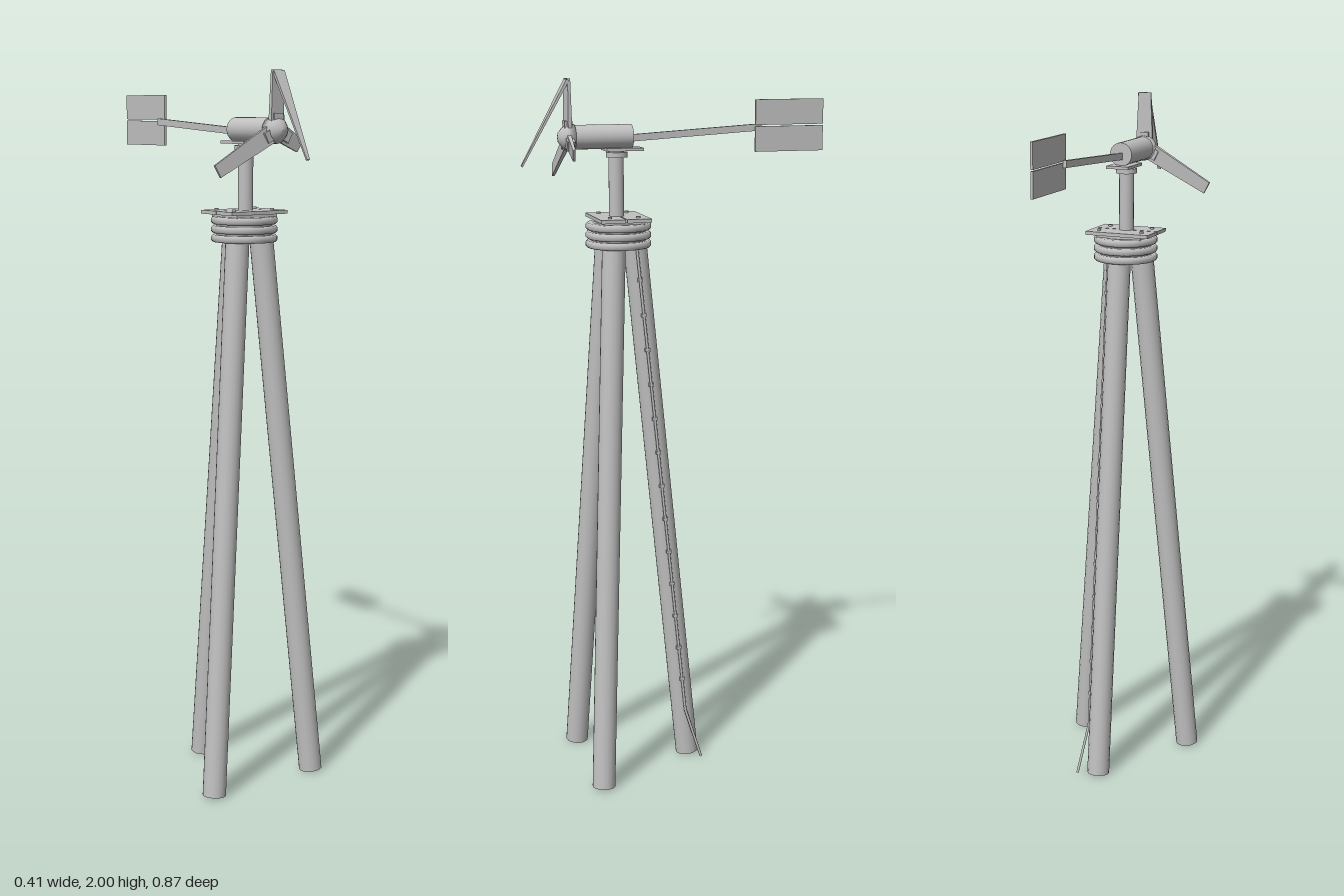
import * as THREE from 'three';

const AXIS_Z = 0.16; // tower centre line
const HUB = [0, 1.843, 0.3];

export function createModel() {
  const model = new THREE.Group();
  const metal = new THREE.MeshStandardMaterial({ color: 0xc0c0c0 });
  metal.name = 'grey metal';

  function add(name, geometry, x = 0, y = 0, z = 0, parent = model) {
    const mesh = new THREE.Mesh(geometry, metal);
    mesh.name = name;
    mesh.position.set(x, y, z);
    parent.add(mesh);
    return mesh;
  }
  const box = (name, w, h, d, x, y, z) => add(name, new THREE.BoxGeometry(w, h, d), x, y, z);
  const disc = (name, r, h, x, y, z, sides = 24) => add(name, new THREE.CylinderGeometry(r, r, h, sides), x, y, z);

  // Straight rod between two points
  function rod(name, a, b, radius, sides = 16) {
    const dir = b.clone().sub(a);
    const mid = a.clone().add(b).multiplyScalar(0.5);
    const mesh = add(name, new THREE.CylinderGeometry(radius, radius, dir.length(), sides), mid.x, mid.y, mid.z);
    mesh.quaternion.setFromUnitVectors(new THREE.Vector3(0, 1, 0), dir.normalize());
    return mesh;
  }

  // Tapered flat blade growing along +y from its origin
  function bladeGeometry(length, rootWidth, tipWidth, thickness) {
    const geo = new THREE.BoxGeometry(1, length, thickness);
    geo.translate(0, length / 2, 0);
    const p = geo.attributes.position;
    for (let i = 0; i < p.count; i++) {
      const t = p.getY(i) / length;
      p.setX(i, p.getX(i) * (rootWidth + (tipWidth - rootWidth) * t));
      p.setZ(i, p.getZ(i) * (1 - 0.4 * t));
    }
    geo.computeVertexNormals();
    return geo;
  }

  // Tripod: one leg behind, two in front
  for (let i = 0; i < 3; i++) {
    const a = Math.PI + (i * Math.PI * 2) / 3;
    const at = (r, y) => new THREE.Vector3(Math.sin(a) * r, y, AXIS_Z + Math.cos(a) * r);
    rod('leg', at(0.2, 0.004), at(0.042, 1.6), 0.033);
  }

  // Collar of three stacked bands around the leg tops
  disc('collarCore', 0.077, 0.066, 0, 1.574, AXIS_Z, 32);
  for (let i = 0; i < 3; i++) {
    const points = [[0.07, -0.01], [0.086, -0.01], [0.091, -0.005], [0.091, 0.005], [0.086, 0.01], [0.07, 0.01]];
    add('collarBand', new THREE.LatheGeometry(points.map((q) => new THREE.Vector2(...q)), 32), 0, 1.55 + i * 0.0245, AXIS_Z);
  }

  // Split top plate with spacer and bolts
  box('plateSpacer', 0.136, 0.012, 0.115, 0, 1.612, AXIS_Z);
  for (const s of [-1, 1]) {
    box('topPlate', 0.19, 0.01, 0.069, 0, 1.621, AXIS_Z + s * 0.0365);
    for (const x of [-0.065, 0.065]) disc('bolt', 0.006, 0.006, x, 1.628, AXIS_Z + s * 0.04, 8);
  }

  // Mast and nacelle bed
  disc('mast', 0.021, 0.185, 0, 1.715, 0.165, 16);
  disc('mastFlange', 0.03, 0.014, 0, 1.794, 0.163);
  box('nacelleBed', 0.066, 0.008, 0.104, 0, 1.809, 0.147);

  // Nacelle body
  add('nacelle', new THREE.CylinderGeometry(0.033, 0.033, 0.163, 24), 0, 1.843, 0.2035).rotation.x = Math.PI / 2;

  // Hub with a rounded nose
  const nose = [[0, -0.017], [0.036, -0.017], [0.036, 0.004], [0.026, 0.016], [0.014, 0.026], [0, 0.029]];
  add('hub', new THREE.LatheGeometry(nose.map((q) => new THREE.Vector2(...q)), 16), ...HUB).rotation.x = Math.PI / 2;

  // Three damaged blades of different lengths
  const blades = [[0, 0.157], [2.07, 0.09], [-2.07, 0.22]];
  for (const [angle, length] of blades) {
    const arm = new THREE.Group();
    arm.name = 'blade';
    arm.position.set(...HUB);
    arm.rotation.z = -angle;
    model.add(arm);
    add('bladeSheet', bladeGeometry(length, 0.05, 0.036, 0.012), 0, 0, 0, arm).rotation.y = 0.1;
    add('bladeRoot', new THREE.BoxGeometry(0.03, 0.05, 0.022), 0, 0.02, 0, arm);
  }

  // Snapped tip folded forward and down from the upright blade
  const tip = add('foldedBladeTip', bladeGeometry(0.262, 0.036, 0.01, 0.008), 0.004, 1.997, 0.302);
  tip.rotation.x = Math.PI - Math.atan2(0.127, 0.229);

  // Tail boom and split fin
  const boom = box('tailBoom', 0.01, 0.019, 0.39, 0, 1.849, -0.06);
  boom.rotation.x = 0.06;
  for (const y of [1.828, 1.902]) box('tailFin', 0.007, 0.07, 0.2, 0.009, y, -0.334);

  // Cable clipped to the rear leg, with a loose end at the foot
  const cable = [[0.037, 1.55, 0.118], [0.037, 0.15, -0.025], [0.056, 0.004, -0.068]].map((q) => new THREE.Vector3(...q));
  rod('cable', cable[0], cable[1], 0.004, 8);
  rod('cableEnd', cable[1], cable[2], 0.004, 8);
  for (let i = 1; i < 14; i++) {
    const p = cable[0].clone().lerp(cable[1], i / 14);
    box('cableClip', 0.012, 0.01, 0.014, p.x - 0.003, p.y, p.z);
  }

  return model;
}
